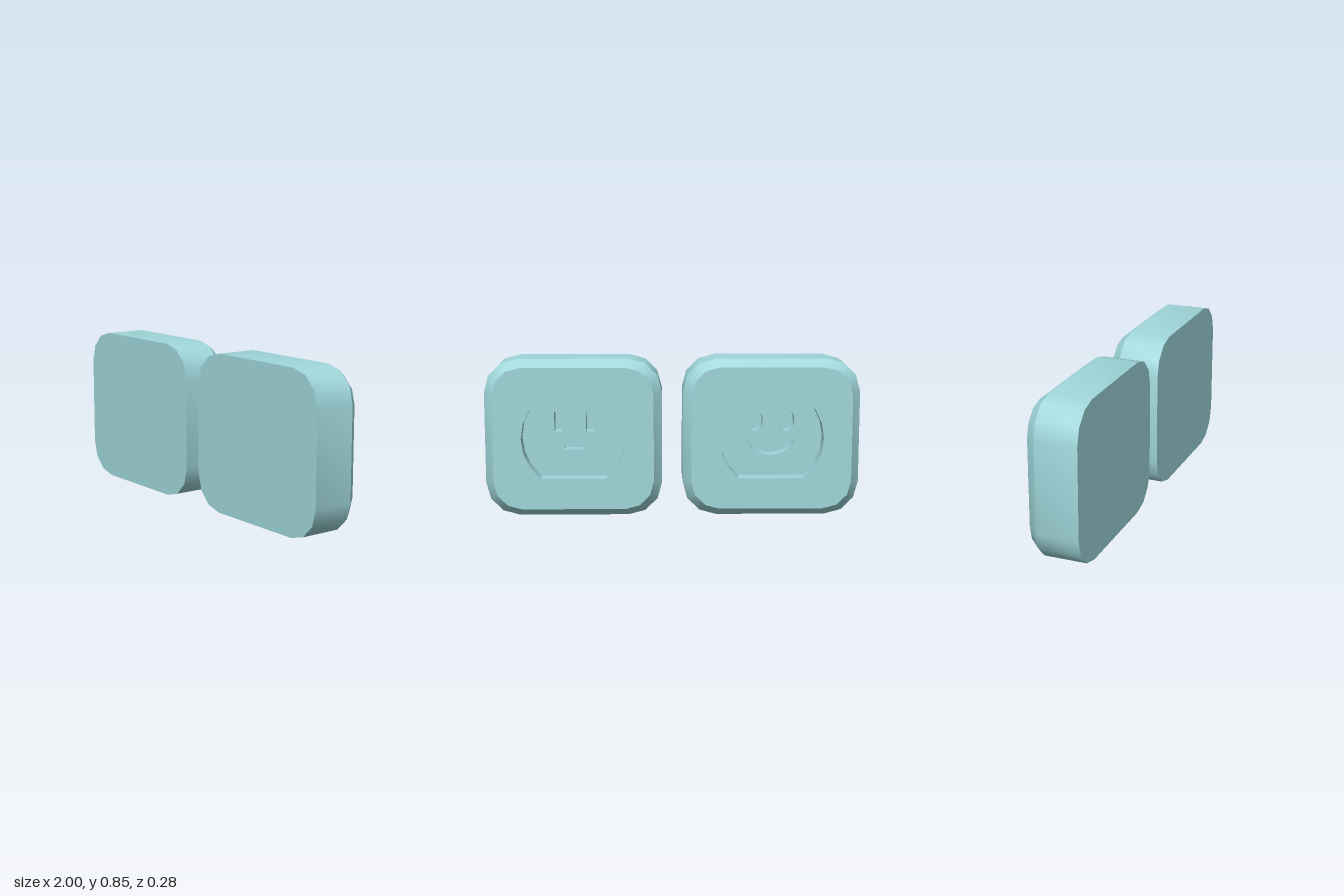
import * as THREE from 'three';
import { mergeGeometries, toCreasedNormals } from 'three/addons/utils/BufferGeometryUtils.js';

const W = 0.945, H = 0.845;          // plate size
const FRONT = 0.14, SHOULDER = 0.085; // half depth, start of the bevel
const FLOOR = 0.05, PIT = -0.03;      // recess floor, bottom of the cut-outs

const pt = (x, y) => new THREE.Vector2(x, y);

// Points along an elliptical arc
function arc(cx, cy, rx, ry, from, to, steps) {
  return Array.from({ length: steps + 1 }, (_, i) => {
    const a = from + (to - from) * i / steps;
    return pt(cx + rx * Math.cos(a), cy + ry * Math.sin(a));
  });
}

// Counter-clockwise rounded rectangle
function roundedRect(w, h, r) {
  const corners = [[1, 1], [-1, 1], [-1, -1], [1, -1]];
  return corners.flatMap(([sx, sy], i) =>
    arc(sx * (w / 2 - r), sy * (h / 2 - r), r, r, i * Math.PI / 2, (i + 1) * Math.PI / 2, 3));
}

// Strip between two outlines; going down in z turns it inward
function wall(a, za, b, zb) {
  const pos = [];
  a.forEach((p, i) => {
    const j = (i + 1) % a.length;
    const q = a[j], r = b[j], s = b[i];
    pos.push(p.x, p.y, za, q.x, q.y, za, r.x, r.y, zb);
    pos.push(p.x, p.y, za, r.x, r.y, zb, s.x, s.y, zb);
  });
  const g = new THREE.BufferGeometry();
  g.setAttribute('position', new THREE.Float32BufferAttribute(pos, 3));
  g.computeVertexNormals();
  return g;
}

// Flat face with optional holes
function cap(outline, z, holes = [], flip = false) {
  const shape = new THREE.Shape(outline);
  shape.holes = holes.map((h) => new THREE.Path(h));
  const g = new THREE.ShapeGeometry(shape).toNonIndexed();
  g.deleteAttribute('uv');
  if (flip) g.rotateY(Math.PI);
  return g.translate(0, 0, z);
}

function part(name, material, geometries) {
  const mesh = new THREE.Mesh(toCreasedNormals(mergeGeometries(geometries), 0.6), material);
  mesh.name = name;
  return mesh;
}

// Plate facing local +z with a recess and cut-outs in its floor
function plate(name, x, cutouts, material) {
  const group = new THREE.Group();
  group.name = name;
  const outer = roundedRect(W, H, 0.18);
  const inner = roundedRect(W - 0.09, H - 0.084, 0.15);

  // Recess: circle with flat top and bottom
  const R = 0.277, lean = Math.asin(0.215 / R);
  const recess = [
    ...arc(0, 0, R, R, -lean, lean, 6),
    ...arc(0, 0, R, R, Math.PI - lean, Math.PI + lean, 6),
  ];

  group.add(part('plateBody', material, [
    cap(outer, -FRONT, [], true),
    wall(outer, -FRONT, outer, SHOULDER),
    wall(outer, SHOULDER, inner, FRONT),
    cap(inner, FRONT, [recess]),
  ]));
  group.add(part('recess', material, [
    wall(recess, FRONT, recess, FLOOR),
    cap(recess, FLOOR, Object.values(cutouts)),
  ]));
  for (const [label, outline] of Object.entries(cutouts)) {
    group.add(part(label, material, [
      wall(outline, FLOOR, outline, PIT),
      cap(outline, PIT),
    ]));
  }
  group.position.set(x, H / 2, 0);
  group.rotation.y = Math.PI;
  return group;
}

export function createModel() {
  const model = new THREE.Group();
  model.name = 'wallPlates';
  const material = new THREE.MeshStandardMaterial({ color: 0x9fd6da });

  // Socket: two slots and a half-round ground hole
  const slot = (x) => [pt(x - 0.02, 0.025), pt(x + 0.02, 0.025), pt(x + 0.02, 0.132), pt(x - 0.02, 0.132)];
  const socket = {
    leftSlot: slot(-0.085),
    rightSlot: slot(0.085),
    groundHole: arc(0, -0.073, 0.052, 0.052, 0, Math.PI, 6),
  };

  // Smile: two oval eyes and a crescent mouth
  const eye = (x) => arc(x, 0.086, 0.043, 0.06, 0, Math.PI * 2, 16).slice(0, -1);
  const smile = {
    leftEye: eye(-0.085),
    rightEye: eye(0.085),
    mouth: [
      ...arc(0, 0, 0.13, 0.105, Math.PI, Math.PI * 2, 12),
      ...arc(0, 0, 0.13, 0.062, Math.PI * 2, Math.PI, 12).slice(1, -1),
    ],
  };

  model.add(plate('socketPlate', 0.5275, socket, material));
  model.add(plate('smilePlate', -0.5275, smile, material));
  return model;
}
